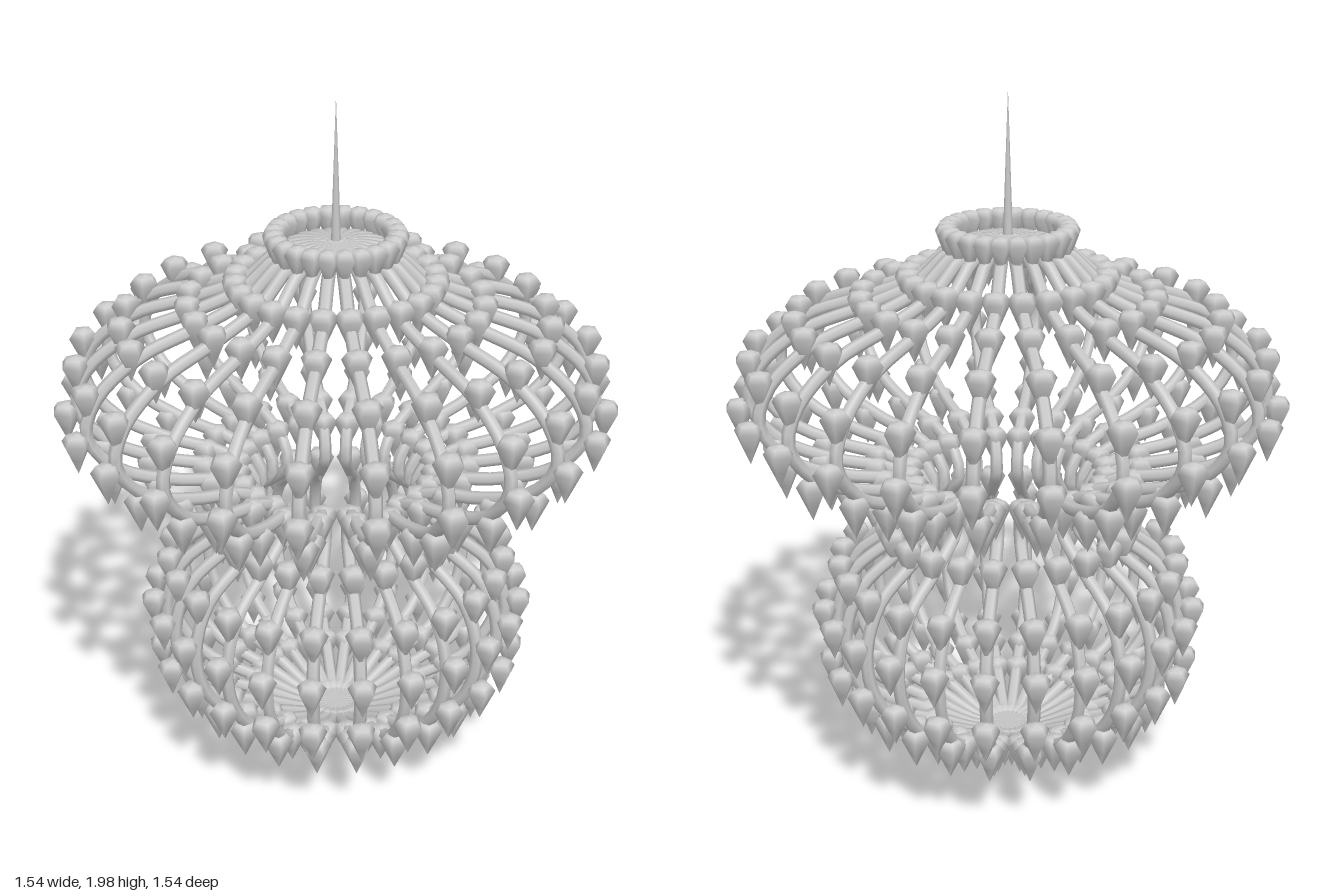
import * as THREE from 'three';

const RIBS = 24;

// Rib centreline, [radius, height], from the crown down to the base
const RIB = [
  [0.0, 1.59], [0.08, 1.585], [0.16, 1.56], [0.25, 1.48], [0.39, 1.42], [0.56, 1.36],
  [0.68, 1.26], [0.71, 1.16], [0.63, 1.05], [0.48, 0.985], [0.33, 0.95], [0.25, 0.9],
  [0.23, 0.83], [0.32, 0.74], [0.44, 0.645], [0.49, 0.52], [0.475, 0.38], [0.40, 0.265],
  [0.31, 0.215], [0.22, 0.18], [0.08, 0.115], [0.0, 0.11],
];

// Crystal tops, [radius, height]
const CRYSTALS = [
  [0.165, 1.64], [0.27, 1.52], [0.40, 1.465], [0.58, 1.415], [0.705, 1.31], [0.738, 1.175],
  [0.645, 1.06], [0.52, 1.005], [0.37, 0.98], [0.28, 0.95], [0.345, 0.80], [0.48, 0.69],
  [0.528, 0.555], [0.51, 0.40], [0.425, 0.29], [0.33, 0.25], [0.24, 0.21], [0.08, 0.135],
];

export function createModel() {
  const model = new THREE.Group();
  const material = new THREE.MeshStandardMaterial({ color: 0xcccccc });

  const curve = new THREE.CatmullRomCurve3(RIB.map(([r, y]) => new THREE.Vector3(r, y, 0)));
  const ribGeometry = new THREE.TubeGeometry(curve, 72, 0.018, 6, false);

  // Five-sided drop: low cap above, long point below
  const drop = [[0, -0.118], [0.02, -0.074], [0.042, -0.026], [0.028, -0.006], [0, 0]];
  const crystalGeometry = new THREE.LatheGeometry(drop.map(([r, y]) => new THREE.Vector2(r, y)), 5);
  crystalGeometry.rotateY(-Math.PI / 2); // a corner faces outward

  // Ribs with their hanging crystals, repeated around the axis
  for (let i = 0; i < RIBS; i++) {
    const arm = new THREE.Group();
    arm.name = 'arm';
    arm.rotation.y = (i / RIBS) * Math.PI * 2;

    const rib = new THREE.Mesh(ribGeometry, material);
    rib.name = 'rib';
    arm.add(rib);

    CRYSTALS.forEach(([r, y], k) => {
      const crystal = new THREE.Mesh(crystalGeometry, material);
      crystal.name = 'crystal';
      crystal.position.set(r, y, 0);
      if (k === 0) crystal.scale.set(0.85, 0.9, 0.85); // crown ring is finer
      arm.add(crystal);
    });
    model.add(arm);
  }

  // Hanging spike
  const spike = new THREE.Mesh(new THREE.ConeGeometry(0.014, 0.42, 8), material);
  spike.name = 'spike';
  spike.position.y = 1.79;
  model.add(spike);

  // Stand the lowest crystal points on the ground
  const box = new THREE.Box3().setFromObject(model);
  model.children.forEach((part) => { part.position.y -= box.min.y; });
  return model;
}
